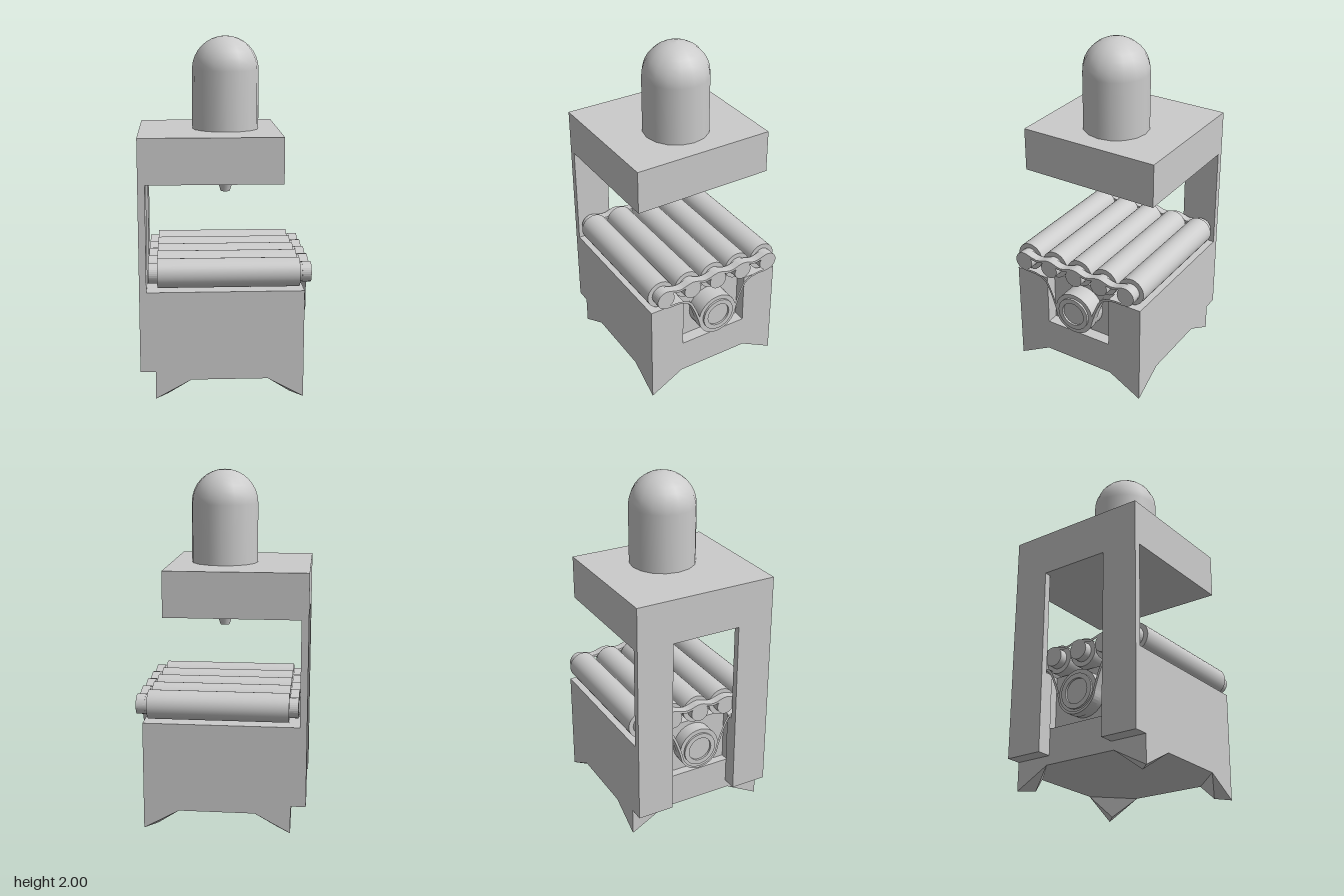
import * as THREE from 'three';
import { ConvexGeometry } from 'three/addons/geometries/ConvexGeometry.js';

const material = new THREE.MeshStandardMaterial({ color: 0xcccccc });
const flat = new THREE.MeshStandardMaterial({ color: 0xcccccc, flatShading: true });

function add(parent, name, geometry, mat = material) {
  const mesh = new THREE.Mesh(geometry, mat);
  mesh.name = name;
  parent.add(mesh);
  return mesh;
}

// Box given by its limits on each axis
function box(x0, x1, y0, y1, z0, z1) {
  return new THREE.BoxGeometry(x1 - x0, y1 - y0, z1 - z0)
    .translate((x0 + x1) / 2, (y0 + y1) / 2, (z0 + z1) / 2);
}

// Cylinder lying along x
function rod(x0, x1, radius, y, z, sides = 32) {
  return new THREE.CylinderGeometry(radius, radius, x1 - x0, sides)
    .rotateZ(-Math.PI / 2).translate((x0 + x1) / 2, y, z);
}

const ROLLER_Y = 0.71, ROLLER_Z = [0.345, 0.17, 0, -0.17, -0.345];
const WHEEL_Y = 0.47;

// Drive belt: a thin loop over the roller pins and around the wheel
function beltGeometry(width) {
  const half = [
    [0, 0.767], [0.085, 0.747], [0.17, 0.767], [0.255, 0.747], [0.345, 0.767],
    [0.384, 0.75], [0.401, 0.71], [0.384, 0.67], [0.345, 0.652], [0.26, 0.648],
    [0.2, 0.625], [0.165, 0.565], [0.13, 0.47], [0.11, 0.405], [0.064, 0.359], [0, 0.342]
  ];
  const mirrored = half.slice(1, -1).reverse().map(([z, y]) => [-z, y]);
  const points = [...half, ...mirrored].map(([z, y]) => new THREE.Vector3(z, y, 0));
  const curve = new THREE.CatmullRomCurve3(points, true);
  const outer = [], inner = [], count = 120;
  for (let i = 0; i < count; i++) {
    const p = curve.getPoint(i / count), t = curve.getTangent(i / count);
    outer.push(new THREE.Vector2(p.x, p.y));
    inner.push(new THREE.Vector2(p.x + t.y * 0.014, p.y - t.x * 0.014));
  }
  const shape = new THREE.Shape(outer);
  shape.holes.push(new THREE.Path(inner));
  return new THREE.ExtrudeGeometry(shape, { depth: width, bevelEnabled: false })
    .rotateY(Math.PI / 2);
}

// Pulley wheel with a raised rim ring and a hub, facing +x
function wheelGeometry(length) {
  const profile = [
    [0, 0], [0.125, 0], [0.125, 0], [0.125, length - 0.012], [0.125, length - 0.012],
    [0.1, length - 0.012], [0.1, length - 0.012], [0.1, length], [0.1, length],
    [0.072, length], [0.072, length], [0.072, length - 0.012], [0.072, length - 0.012],
    [0, length - 0.012]
  ].map(([r, y]) => new THREE.Vector2(r, y));
  return new THREE.LatheGeometry(profile, 32).rotateZ(-Math.PI / 2);
}

export function createModel() {
  const model = new THREE.Group();
  model.name = 'rollerPress';

  // Base: solid below, with a wheel recess in each end above
  const base = new THREE.Group();
  base.name = 'base';
  model.add(base);
  add(base, 'baseLower', box(-0.4, 0.43, 0.11, 0.31, -0.42, 0.42));
  const outline = new THREE.Shape([
    [-0.4, -0.42], [0.43, -0.42], [0.43, -0.21], [0.36, -0.21], [0.36, 0.21], [0.43, 0.21],
    [0.43, 0.42], [-0.4, 0.42], [-0.4, 0.21], [-0.35, 0.21], [-0.35, -0.21], [-0.4, -0.21]
  ].map(([x, z]) => new THREE.Vector2(x, z)));
  add(base, 'baseUpper', new THREE.ExtrudeGeometry(outline, { depth: 0.31, bevelEnabled: false })
    .rotateX(-Math.PI / 2).translate(0, 0.31, 0));

  // Pointed corner feet
  for (const [x, sx] of [[-0.4, 1], [0.43, -1]]) {
    for (const sz of [1, -1]) {
      const corner = (dx, y, dz) => new THREE.Vector3(x + sx * dx, y, sz * (0.42 - dz));
      add(base, 'foot', new ConvexGeometry([
        corner(0, 0.11, 0), corner(0.2, 0.11, 0), corner(0, 0.11, 0.2),
        corner(0, 0, 0), corner(0.07, 0.004, 0.07)
      ]), flat);
    }
  }

  // Two posts, thicker where they meet the base
  for (const s of [1, -1]) {
    const z0 = s > 0 ? 0.205 : -0.42, z1 = s > 0 ? 0.42 : -0.205;
    add(model, 'post', box(-0.485, -0.445, 0.62, 1.22, z0, z1));
    add(model, 'postFoot', box(-0.485, -0.4, 0.16, 0.62, z0, z1));
  }

  // Overhanging head with domed tank and nozzle
  add(model, 'head', box(-0.485, 0.31, 1.22, 1.475, -0.42, 0.42));
  const dome = [new THREE.Vector2(0.19, 1.47)];
  for (let i = 0; i <= 8; i++) {
    const a = (i / 8) * Math.PI / 2;
    dome.push(new THREE.Vector2(0.19 * Math.cos(a), 1.81 + 0.19 * Math.sin(a)));
  }
  add(model, 'tank', new THREE.LatheGeometry(dome, 16)).position.x = 0.01;
  add(model, 'nozzle', new THREE.CylinderGeometry(0.062, 0.027, 0.115, 16))
    .position.set(0.01, 1.166, 0);

  // Conveyor rollers on thinner pins
  for (const z of ROLLER_Z) {
    add(model, 'roller', rod(-0.385, 0.405, 0.082, ROLLER_Y, z));
    add(model, 'rollerPin', rod(-0.432, 0.467, 0.054, ROLLER_Y, z));
  }

  // A belt and drive wheel at each end
  add(model, 'rightBelt', beltGeometry(0.05)).position.x = 0.42;
  add(model, 'leftBelt', beltGeometry(0.05)).position.x = -0.436;
  add(model, 'rightWheel', wheelGeometry(0.125)).position.set(0.355, WHEEL_Y, 0);
  const farWheel = add(model, 'leftWheel', wheelGeometry(0.095));
  farWheel.position.set(-0.345, WHEEL_Y, 0);
  farWheel.rotation.y = Math.PI;

  return model;
}
